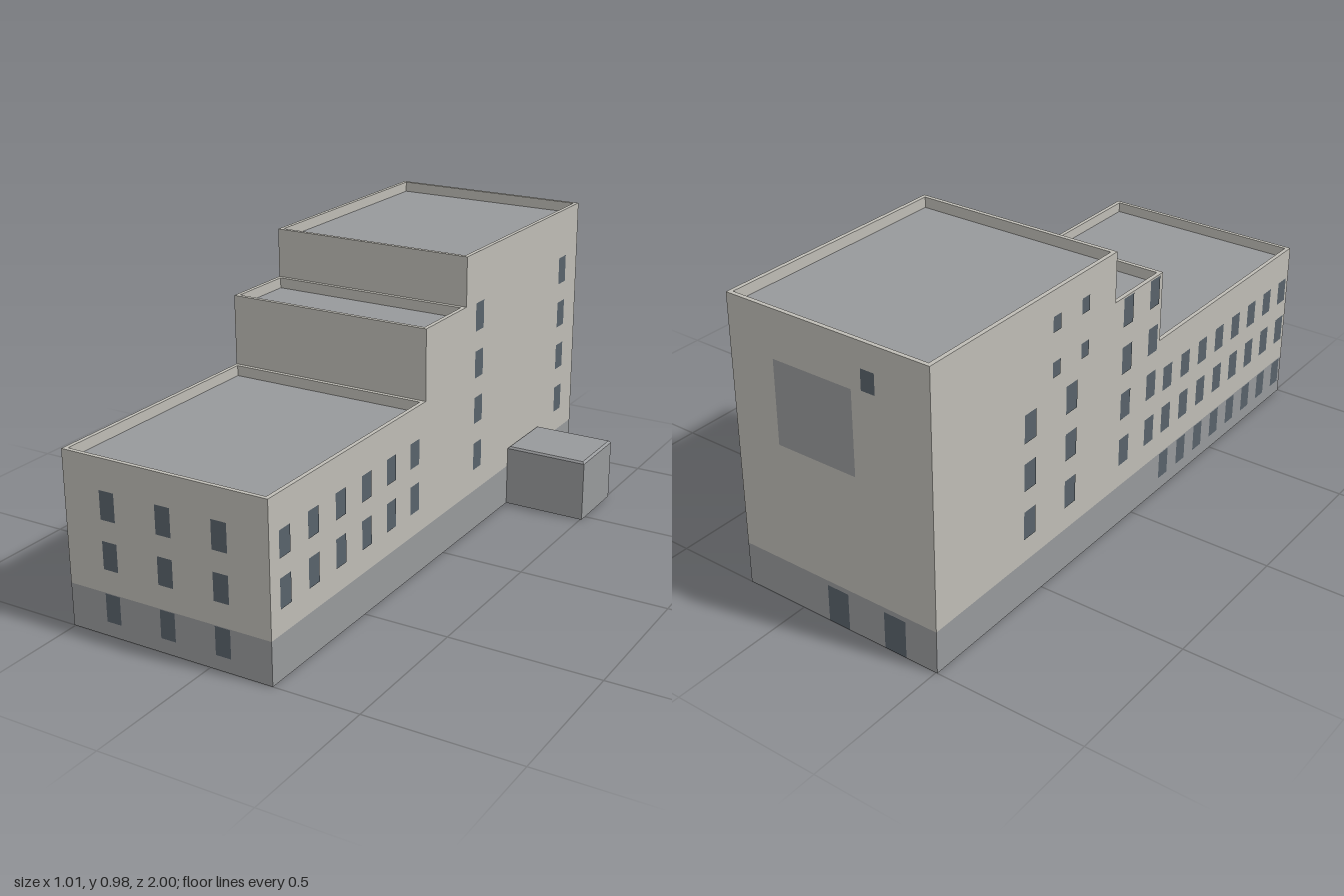
import * as THREE from 'three';

const wallMat = new THREE.MeshStandardMaterial({ color: 0xbebcb5, side: THREE.DoubleSide });
wallMat.name = 'warm plaster';
const greyMat = new THREE.MeshStandardMaterial({ color: 0x97999b, side: THREE.DoubleSide });
greyMat.name = 'grey base and roofing';
const glassMat = new THREE.MeshStandardMaterial({ color: 0x58626a });
glassMat.name = 'dark window glass';

const X0 = -0.505, X1 = 0.215, BASE = 0.142;
const PARAPET = 0.035, RIM = 0.014;
const TURN = { front: 0, left: Math.PI / 2, back: Math.PI, right: -Math.PI / 2 };

// Upright rectangle facing one side; u runs along x (front, back) or z (left, right)
function panel(parent, name, mat, side, at, u0, u1, y0, y1) {
  const mesh = new THREE.Mesh(new THREE.PlaneGeometry(u1 - u0, y1 - y0), mat);
  const u = (u0 + u1) / 2, y = (y0 + y1) / 2;
  mesh.rotation.y = TURN[side];
  if (side === 'front' || side === 'back') mesh.position.set(u, y, at);
  else mesh.position.set(at, y, u);
  mesh.name = name;
  parent.add(mesh);
}

// Wall with its grey base band
function wall(parent, side, at, u0, u1, top) {
  panel(parent, 'baseBand', greyMat, side, at, u0, u1, 0, BASE);
  panel(parent, 'wall', wallMat, side, at, u0, u1, BASE, top);
}

// Horizontal rectangle facing up
function slab(parent, name, x0, x1, z0, z1, y) {
  const mesh = new THREE.Mesh(new THREE.PlaneGeometry(x1 - x0, z1 - z0), greyMat);
  mesh.rotation.x = -Math.PI / 2;
  mesh.position.set((x0 + x1) / 2, y, (z0 + z1) / 2);
  mesh.name = name;
  parent.add(mesh);
}

function rect(PathType, x0, x1, y0, y1) {
  return new PathType([[x0, y0], [x1, y0], [x1, y1], [x0, y1]].map(p => new THREE.Vector2(...p)));
}

// One stepped block: side walls, sunken roof, parapet rim
function block(name, z0, z1, top) {
  const g = new THREE.Group();
  g.name = name;
  const roofY = top - PARAPET;
  wall(g, 'left', X1, z0, z1, roofY);
  wall(g, 'right', X0, z0, z1, roofY);
  slab(g, 'roof', X0, X1, z0, z1, roofY);
  const shape = rect(THREE.Shape, X0, X1, -z1, -z0);
  shape.holes.push(rect(THREE.Path, X0 + RIM, X1 - RIM, -z1 + RIM, -z0 - RIM));
  const geo = new THREE.ExtrudeGeometry(shape, { depth: PARAPET, bevelEnabled: false });
  const rim = new THREE.Mesh(geo.rotateX(-Math.PI / 2).translate(0, roofY, 0), wallMat);
  rim.name = 'parapet';
  g.add(rim);
  return g;
}

// Grid of windows: columns by centre, rows by [bottom, top]
function windows(parent, side, at, cols, rows, w) {
  for (const c of cols) for (const [y0, y1] of rows)
    panel(parent, 'window', glassMat, side, at, c - w / 2, c + w / 2, y0, y1);
}

export function createModel() {
  const model = new THREE.Group();
  model.name = 'steppedBuilding';
  const zA = 0.128, zB = -0.137;

  // Three blocks rising to the back
  const low = block('lowBlock', zA, 1, 0.573);
  const middle = block('middleBlock', zB, zA, 0.81);
  const tall = block('tallBlock', -1, zB, 0.976);
  wall(low, 'front', 1, X0, X1, 0.573 - PARAPET);
  wall(middle, 'front', zA, X0, X1, 0.81 - PARAPET);
  wall(tall, 'front', zB, X0, X1, 0.976 - PARAPET);
  wall(tall, 'back', -1, X0, X1, 0.976 - PARAPET);
  model.add(low, middle, tall);

  // Window rows shared by several sides
  const ground = [0.048, 0.141], first = [0.222, 0.317], second = [0.378, 0.463];
  const tallRows = [first, [0.388, 0.48], [0.548, 0.641], [0.71, 0.806]];
  const off = 0.002;
  const glazing = new THREE.Group();
  glazing.name = 'windows';
  model.add(glazing);

  // Front
  windows(glazing, 'front', 1 + off, [-0.346, -0.146, 0.049], [ground, [0.22, 0.311], [0.379, 0.472]], 0.053);

  // Left side (+x)
  const six = Array.from({ length: 6 }, (_, i) => 0.198 + i * 0.1457);
  windows(glazing, 'left', X1 + off, six, [first, second], 0.055);
  windows(glazing, 'left', X1 + off, [-0.23, -0.873], tallRows, 0.056);

  // Right side (-x)
  const eight = Array.from({ length: 8 }, (_, i) => 0.185 + i * 0.11);
  windows(glazing, 'right', X0 - off, eight, [ground, first, second], 0.053);
  windows(glazing, 'right', X0 - off, [-0.065, 0.083], tallRows, 0.053);
  windows(glazing, 'right', X0 - off, [-0.565, -0.36], tallRows.slice(0, 3), 0.056);
  windows(glazing, 'right', X0 - off, [-0.44, -0.297], [[0.7, 0.75], [0.845, 0.895]], 0.038);

  // Back: blind panel, small window, two doors
  panel(model, 'blindPanel', greyMat, 'back', -1 - off, -0.234, 0.05, 0.545, 0.82);
  windows(glazing, 'back', -1 - off, [-0.294], [[0.828, 0.895]], 0.048);
  for (const x of [-0.144, -0.356])
    panel(model, 'door', glassMat, 'back', -1 - off, x - 0.039, x + 0.039, 0.002, 0.128);

  // Side annex, open below, with a slightly tapered roof edge
  const annex = new THREE.Group();
  annex.name = 'annex';
  const ax = 0.505, az0 = -0.705, az1 = -0.47, ay = 0.207;
  panel(annex, 'annexWall', greyMat, 'front', az1, X1, ax, 0, ay);
  panel(annex, 'annexWall', greyMat, 'back', az0, X1, ax, 0, ay);
  panel(annex, 'annexWall', greyMat, 'left', ax, az0, az1, 0, ay);
  const cap = new THREE.CylinderGeometry(0.95 * Math.SQRT1_2, Math.SQRT1_2, 0.007, 4)
    .rotateY(Math.PI / 4).toNonIndexed();
  cap.computeVertexNormals();
  cap.scale(ax - X1, 1, az1 - az0);
  const capMesh = new THREE.Mesh(cap, greyMat);
  capMesh.position.set((X1 + ax) / 2, ay + 0.0035, (az0 + az1) / 2);
  capMesh.name = 'annexRoof';
  annex.add(capMesh);
  model.add(annex);

  return model;
}
